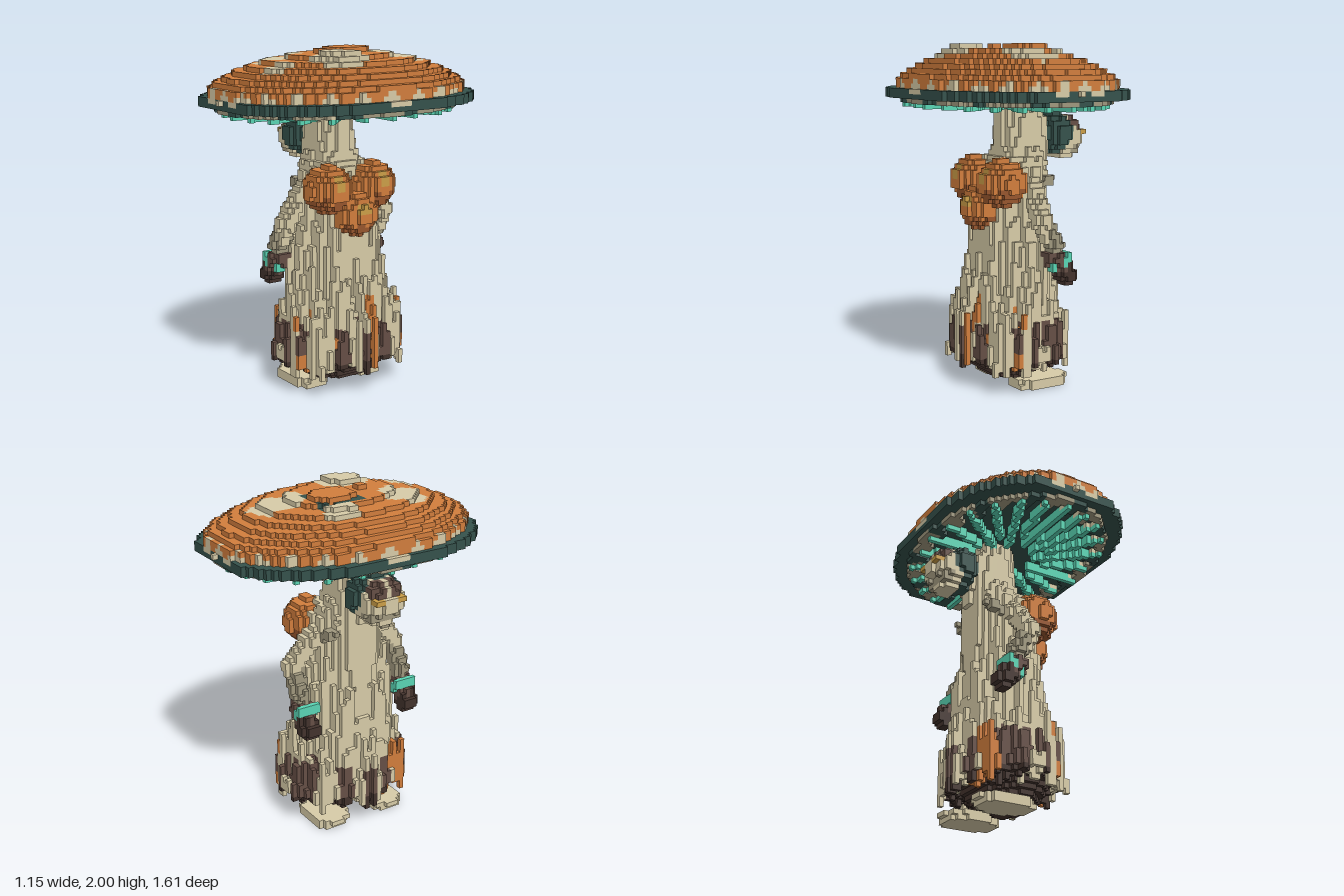
import * as THREE from 'three';

const V = 2 / 71; // edge of one cube
const mat = (name, color) => Object.assign(new THREE.MeshStandardMaterial({ color }), { name });
const M = {
  cream: mat('cream', 0xd8cca8),
  shade: mat('shaded cream', 0xa0987e),
  orange: mat('orange', 0xd27e3d),
  rust: mat('dark orange', 0x97562d),
  dark: mat('dark teal', 0x35524c),
  teal: mat('bright teal', 0x5ad6b5),
  brown: mat('brown', 0x664f46),
  soil: mat('dark brown', 0x43332d),
  gold: mat('gold', 0xcc9f48),
};

// repeatable noise 0..1 per grid column
const hash = (a, b) => {
  const s = Math.sin(a * 127.1 + b * 311.7) * 43758.5453;
  return s - Math.floor(s);
};
const ell = (x, z, rx, rz, n = 2) => Math.abs(x / rx) ** n + Math.abs(z / rz) ** n;
const ball = (x, y, z, c, r) => Math.hypot((x - c[0]) / r[0], (y - c[1]) / r[1], (z - c[2]) / r[2]);

// Fills a box of the grid by a rule (x, y, z) -> colour key, and skins the open faces
function voxels(name, min, max, rule) {
  const lo = [Math.round(min[0] / V), Math.floor(min[1] / V), Math.round(min[2] / V)];
  const hi = [Math.round(max[0] / V), Math.ceil(max[1] / V), Math.round(max[2] / V)];
  const cells = new Map();
  const key = (p) => p.join();
  for (let i = lo[0]; i <= hi[0]; i++)
    for (let j = Math.max(0, lo[1]); j <= Math.min(70, hi[1]); j++)
      for (let k = lo[2]; k <= hi[2]; k++) {
        const c = rule(i * V, (j + 0.5) * V, k * V, i, k);
        if (c) cells.set(key([i, j, k]), { p: [i, j, k], c });
      }
  const skins = {};
  for (const { p, c } of cells.values())
    for (let a = 0; a < 3; a++)
      for (const s of [-1, 1]) {
        const q = [...p];
        q[a] += s;
        if (cells.has(key(q))) continue;
        const skin = (skins[c] ??= { pos: [], nor: [], idx: [] });
        const base = skin.pos.length / 3;
        for (const [du, dv] of [[-1, -1], [1, -1], [1, 1], [-1, 1]]) {
          const w = [p[0], p[1] + 0.5, p[2]];
          const n = [0, 0, 0];
          w[a] += s / 2;
          w[(a + 1) % 3] += du / 2;
          w[(a + 2) % 3] += dv / 2;
          n[a] = s;
          skin.pos.push(...w.map((t) => t * V));
          skin.nor.push(...n);
        }
        skin.idx.push(...(s > 0 ? [0, 1, 2, 0, 2, 3] : [0, 2, 1, 0, 3, 2]).map((t) => t + base));
      }
  const part = new THREE.Group();
  part.name = name;
  for (const [c, skin] of Object.entries(skins)) {
    const g = new THREE.BufferGeometry();
    g.setAttribute('position', new THREE.Float32BufferAttribute(skin.pos, 3));
    g.setAttribute('normal', new THREE.Float32BufferAttribute(skin.nor, 3));
    g.setIndex(skin.idx);
    const mesh = new THREE.Mesh(g, M[c]);
    mesh.name = `${name} ${M[c].name}`;
    part.add(mesh);
  }
  return part;
}

// Spots on the cap: x, z, rx, rz, height in cubes, height of an inner step
const spots = [
  [0.05, -0.37, 0.125, 0.17, 0, 0], [-0.26, -0.16, 0.075, 0.1, 0.5, 0], [0.2, 0.14, 0.125, 0.175, 0.3, 1.3],
  [-0.16, 0.325, 0.11, 0.145, 0, 0], [0.11, 0.5, 0.065, 0.095, 0, 0],
];

function capRule(x, y, z) {
  const top = 1.972 - 0.17 * ell(x, z, 0.56, 0.785) ** 1.4;
  if (ell(x, z, 0.56, 0.785, 2.05) > 1) return;
  // knob inside an open dark frame
  if (ell(x + 0.08, z + 0.105, 0.1, 0.125, 2.6) < 1) return 'orange';
  if (ell(x + 0.02, z - 0.13, 0.03, 0.04) < 1) return y < top + V ? 'orange' : undefined;
  const frame = Math.abs(x + 0.077) < 0.128 && Math.abs(z + 0.1) < 0.144 && !(x > 0.02 && Math.abs(z + 0.1) < 0.065);
  if (frame && y < top) return y > top - 1.5 * V ? 'dark' : 'orange';
  for (const [sx, sz, rx, rz, h, step] of spots) {
    const d = ell(x - sx, z - sz, rx, rz, 2.3) + 0.25 * (hash(Math.round(x / V / 2), Math.round(z / V / 2)) - 0.5);
    if (d < 1 && !frame) {
      const rise = step && ell(x - sx, z - sz, 0.1, 0.09, 3) < 1 ? step : h;
      if (y > top + V * rise) return;
      return y > top - 2.2 * V ? 'cream' : 'orange';
    }
  }
  if (y > top) return;
  // pale scallops along the lower edge
  const wave = Math.sin(26 * Math.atan2(z / 0.785, x / 0.56));
  return wave > -0.15 && y < 1.765 + (wave > 0.75 ? 0.025 : 0) ? 'cream' : 'orange';
}

function rimRule(x, y, z) {
  if (Math.abs(x) < 0.01 && Math.abs(z) < 0.8 && y > 1.72) return 'cream';
  if (Math.abs(x) > 0.58 || Math.abs(z) > 0.775 || ell(x, z, 0.6, 0.815, 2.25) > 1) return;
  const pale = (Math.abs(z) > 0.73 && Math.abs(Math.abs(x) - 0.11) < 0.035) || (Math.abs(x) > 0.55 && Math.abs(z) < 0.07);
  return pale && y > 1.72 ? 'cream' : 'dark';
}

function gillRule(x, y, z) {
  const r = Math.sqrt(ell(x, z, 0.525, 0.725));
  const a = Math.atan2(z / 0.725, x / 0.525);
  const spoke = Math.round((a * 24) / (2 * Math.PI));
  const b = (spoke * 2 * Math.PI) / 24;
  const dx = Math.cos(b) * 0.525, dz = Math.sin(b) * 0.725;
  const off = Math.abs(x * dz - z * dx) / Math.hypot(dx, dz);
  if (r > (spoke % 2 ? 0.42 : 0.28) && r < 1 && off < 0.0142) return y > 1.662 && r > 0.88 ? 'cream' : 'teal';
  // scalloped fringe inside the rim
  if (y > 1.662 && r < 1.03 && r > 0.9 + 0.07 * Math.sin(24 * a)) return Math.sin(12 * a) > -0.5 ? 'shade' : 'dark';
}

// Stem profile: y, centre x, radius x, radius z
const stem = [
  [0.1, -0.02, 0.31, 0.41], [0.32, -0.025, 0.305, 0.405], [0.5, -0.03, 0.255, 0.335], [0.7, -0.045, 0.22, 0.295],
  [0.9, -0.035, 0.2, 0.25], [1.1, -0.045, 0.2, 0.215], [1.3, -0.075, 0.18, 0.2], [1.4, -0.115, 0.155, 0.14],
  [1.57, -0.115, 0.15, 0.125], [1.66, -0.08, 0.12, 0.11],
];
function stemAt(y) {
  let n = 1;
  while (n < stem.length - 1 && y > stem[n][0]) n++;
  const t = THREE.MathUtils.clamp((y - stem[n - 1][0]) / (stem[n][0] - stem[n - 1][0]), 0, 1);
  return stem[n].map((v, m) => THREE.MathUtils.lerp(stem[n - 1][m], v, t));
}

function stemRule(x, y, z, i, k) {
  // each column is shifted up or down, which makes upright slats of bark
  const h = hash(i, Math.abs(k));
  const [, cx, rx, rz] = stemAt(y + (y < 1.3 ? 0.22 : 0.05) * (h - 0.5));
  const d = Math.sqrt(ell(x - cx, z, rx, rz)) + (y < 1.3 ? 0.1 * (h - 0.5) : 0);
  if (d > 1) return;
  // dark underside, rounded to a point
  const core = Math.sqrt(ell(x + 0.005, z, 0.235, 0.325));
  if (y < 0.04 + 0.16 * core ** 3 && (core < 0.96 || y < 0.12 + 0.1 * h)) return;
  if (core < 1 && y < 0.2 && d < 0.9) return 'soil';
  if (y < 0.12 + 0.1 * h) return;
  // orange streaks
  const wide = Math.abs(z) > 0.2;
  const back = x > 0.08;
  if (back && Math.abs(z + 0.06) < (y > 0.4 ? 0.03 : 0.016) && y < 0.56) return 'orange';
  if (!back && Math.abs(x + 0.24) < 0.016 && z > 0 && y < 0.45) return 'orange';
  if (wide && ((Math.abs(x - 0.08) < 0.016 && Math.abs(y - 0.45) < 0.05) || (Math.abs(x - 0.11) < 0.016 && y < 0.26))) return 'orange';
  if (h > 0.97 && y > 0.65 && y < 0.9) return 'orange';
  // brown streaks climbing from the hem
  if (y < 0.37 + 0.09 * h) {
    if (h > 0.96) return 'orange';
    const bare = Math.abs(x + 0.03) < 0.045 && y < 0.29;
    const streak = wide ? Math.abs(x + 0.035) < 0.165 && h > 0.1 && !bare : Math.cos((2 * Math.PI * z) / 0.143) > 0.1;
    if (streak) return y < 0.2 ? 'soil' : 'brown';
  }
  return 'cream';
}

// Arm joints on the +z side; the other arm mirrors them
const limbs = [
  ['shade', 0.03, [-0.2, 1.22, 0.17], [-0.14, 1.19, 0.19]],
  ['cream', 0.055, [-0.07, 1.2, 0.2], [-0.04, 1.02, 0.345]],
  ['shade', 0.052, [-0.04, 1.0, 0.345], [-0.13, 0.86, 0.345]],
  ['brown', 0.06, [-0.13, 0.78, 0.34], [-0.17, 0.74, 0.34]],
  ['soil', 0.058, [-0.18, 0.73, 0.345], [-0.21, 0.675, 0.345]],
].map(([c, r, p, q]) => [c, r, new THREE.Line3(new THREE.Vector3(...p), new THREE.Vector3(...q))]);
const near = new THREE.Vector3();

const armRule = (side) => (x, y, z) => {
  const p = new THREE.Vector3(x, y, z * side);
  // bright band slanting across the wrist
  const band = Math.abs(y - 0.735 + 0.625 * (x + 0.11)) < 0.026 && x > -0.21 && x < -0.1;
  if (band && Math.abs(p.z - 0.335) < (x < -0.16 ? 0.065 : 0.045)) return 'teal';
  for (const [c, r, line] of limbs)
    if (line.closestPointToPoint(p, true, near).distanceTo(p) < r)
      return c === 'shade' && p.z > 0.32 && x > -0.08 ? 'cream' : c;
};

// Round growths on the back, each with a gold spot and a darker underside
const orbRule = (c, r) => (x, y, z) => {
  if (ball(x, y, z, c, [r, r, r]) > 1) return;
  if (x > c[0] + r * 0.6 && Math.hypot(y - c[1] - 0.04, z - c[2]) < 0.038) return 'gold';
  return y < c[1] - r * 0.4 + 0.02 * Math.sin(z * 90) ? 'rust' : 'orange';
};

// Hooded face
function hoodRule(x, y, z) {
  if (ball(x, y, z, [-0.33, 1.475, 0], [0.1, 0.128, 0.16]) < 1) return 'dark';
}
function faceRule(x, y, z) {
  const eye = Math.abs(Math.abs(z) - 0.06);
  if (x < -0.46 && Math.abs(y - 1.49) < 0.016 && eye < 0.03) return 'gold';
  if (ball(x, y, z, [-0.39, 1.45, 0], [0.125, 0.14, 0.135]) > 1) return;
  if (Math.abs(y - 1.535) < 0.03 && eye < 0.04 && x < -0.41) return 'brown';
  if (y < 1.4 && Math.abs(z) < 0.03 && x < -0.46) return;
  return x < -0.42 && Math.abs(y - 1.39) < 0.03 ? 'shade' : 'cream';
}

export function createModel() {
  const g = new THREE.Group();
  g.name = 'mushroom figure';
  g.add(
    voxels('cap', [-0.6, 1.748, -0.82], [0.6, 2, 0.82], capRule),
    voxels('capRim', [-0.6, 60.1 * V, -0.82], [0.6, 60.9 * V, 0.82], rimRule),
    voxels('gills', [-0.6, 58.1 * V, -0.82], [0.6, 58.9 * V, 0.82], gillRule),
    voxels('stem', [-0.4, 0, -0.45], [0.35, 1.68, 0.45], stemRule),
    voxels('hood', [-0.5, 1.3, -0.2], [-0.2, 1.65, 0.2], hoodRule),
    voxels('face', [-0.51, 1.3, -0.15], [-0.36, 1.6, 0.15], faceRule),
    voxels('lowerOrb', [0, 0.88, -0.18], [0.3, 1.22, 0.18], orbRule([0.13, 1.06, 0], 0.135)),
  );
  for (const side of [1, -1]) {
    const zs = [side * 0.05, side * 0.42].sort((a, b) => a - b);
    const end = side > 0 ? 'Front' : 'Back';
    g.add(
      voxels('arm' + end, [-0.35, 0.55, zs[0]], [0.1, 1.3, zs[1]], armRule(side)),
      voxels('orb' + end, [-0.1, 1, side * 0.16 - 0.17], [0.3, 1.4, side * 0.16 + 0.17], orbRule([0.105, 1.21, side * 0.155], 0.135)),
      voxels('foot' + end, [-0.35, 0, side * 0.19 - 0.15], [0.1, 0.04, side * 0.19 + 0.15], (x, y, z) =>
        y < 0.06 && ell(x + (y < V ? 0.115 : 0.125), z - side * 0.19, 0.165, 0.117, 2.2) < 1 ? 'cream' : undefined),
    );
  }
  return g;
}
